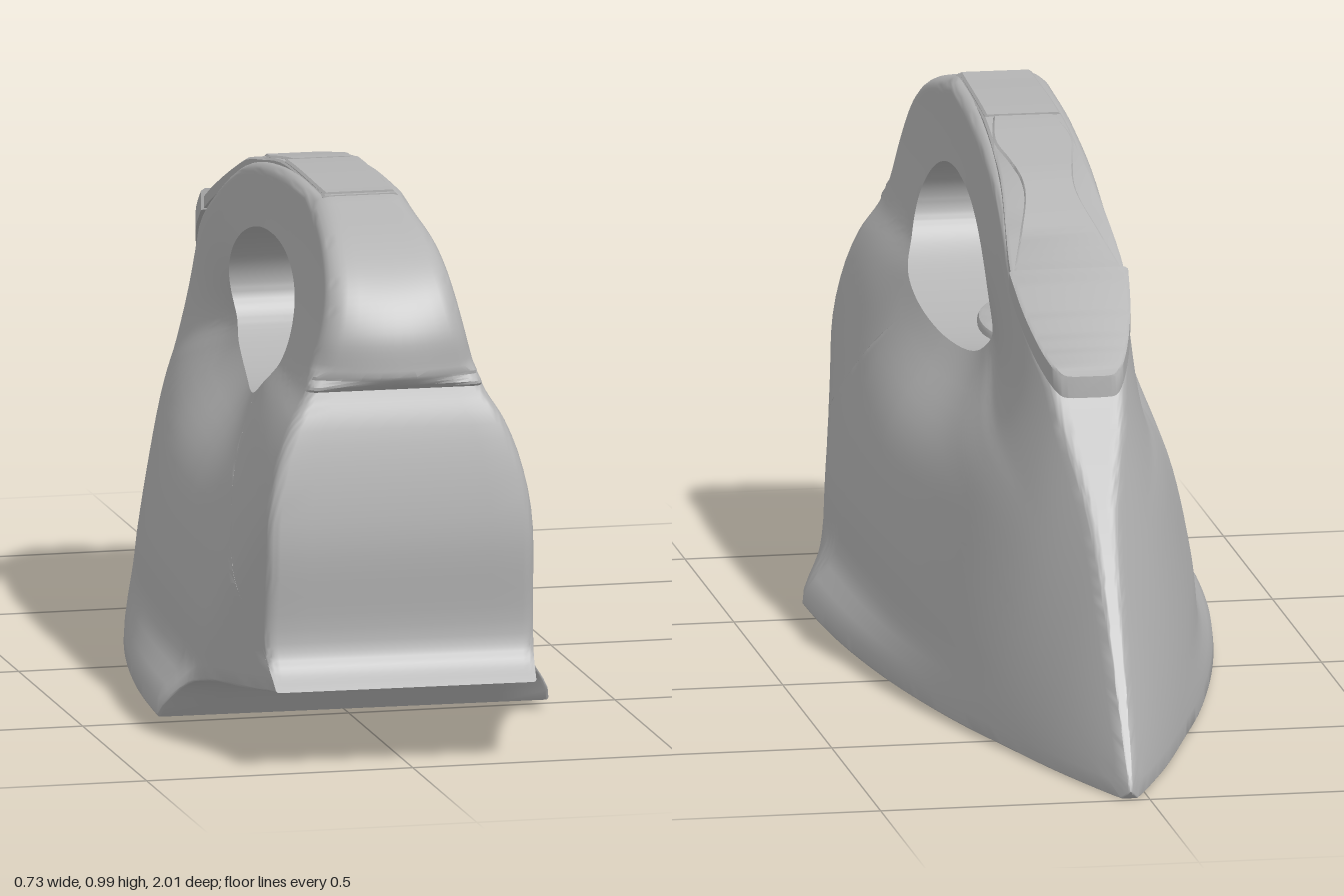
import * as THREE from 'three';
import { toCreasedNormals } from 'three/addons/utils/BufferGeometryUtils.js';

const grey = new THREE.MeshStandardMaterial({ color: 0xb4b4b4 });
grey.name = 'grey';
const { smoothstep, lerp } = THREE.MathUtils;

// smooth lookup in a short table of [position, value]
function look(table, t) {
  const last = table.length - 1;
  if (t <= table[0][0]) return table[0][1];
  if (t >= table[last][0]) return table[last][1];
  const i = table.findIndex(([p]) => p >= t) - 1;
  const slope = (k) => {
    const a = table[Math.max(0, k - 1)], b = table[Math.min(last, k + 1)];
    return (b[1] - a[1]) / (b[0] - a[0]);
  };
  const [p0, v0] = table[i], [p1, v1] = table[i + 1], h = p1 - p0, s = (t - p0) / h;
  const s2 = s * s, s3 = s2 * s;
  return v0 * (2 * s3 - 3 * s2 + 1) + v1 * (3 * s2 - 2 * s3)
    + h * (slope(i) * (s3 - 2 * s2 + s) + slope(i + 1) * (s3 - s2));
}

function softMin(a, b, k) {
  const h = Math.max(k - Math.abs(a - b), 0) / k;
  return Math.min(a, b) - h * h * k * 0.25;
}

// skin through a list of cross-section loops; closed = last section joins the first
function loft(sections, closed) {
  const n = sections[0].length, m = sections.length, index = [];
  for (let j = 0; j < (closed ? m : m - 1); j++) {
    for (let i = 0; i < n; i++) {
      const k = (i + 1) % n, q = (j + 1) % m;
      const a = j * n + i, b = j * n + k, c = q * n + k, d = q * n + i;
      index.push(a, b, c, a, c, d);
    }
  }
  if (!closed) {
    for (let i = 1; i < n - 1; i++) {
      index.push(0, i + 1, i);
      index.push((m - 1) * n, (m - 1) * n + i, (m - 1) * n + i + 1);
    }
  }
  const g = new THREE.BufferGeometry();
  g.setAttribute('position', new THREE.Float32BufferAttribute(sections.flat(2), 3));
  g.setIndex(index);
  return toCreasedNormals(g, 0.7);
}

function add(group, name, geometry) {
  const mesh = new THREE.Mesh(geometry, grey);
  mesh.name = name;
  group.add(mesh);
  return mesh;
}

// height of the crest, half widths of the base and crest, all along z
const crestY = [[-1, 0.03], [-0.875, 0.2], [-0.72, 0.4], [-0.48, 0.67], [-0.25, 0.806], [0, 0.925], [0.3, 0.98]];
const baseW = [[-1, 0.003], [-0.98, 0.018], [-0.8, 0.091], [-0.6, 0.157], [-0.4, 0.215], [-0.2, 0.255], [0, 0.282], [0.25, 0.302], [0.54, 0.314]];
const crestW = [[-1, 0.003], [-0.8, 0.014], [-0.65, 0.028], [-0.5, 0.065], [-0.3, 0.1], [0, 0.094], [0.6, 0.09], [0.8, 0.1], [0.94, 0.1]];
const rearW = [[0.48, 0.43], [0.54, 0.374], [0.6, 0.335], [0.7, 0.302], [0.8, 0.277], [0.95, 0.248], [1, 0.243]];
const flank = [[0, 1], [0.2, 0.95], [0.3, 0.87], [0.4, 0.77], [0.5, 0.67], [0.58, 0.58], [0.64, 0.47], [0.7, 0.31], [0.8, 0.17], [0.9, 0.07], [1, 0]];

// half width of the body at a point of its side profile
function halfWidth(z, y) {
  const u = Math.min(1, y / look(crestY, z));
  const f = lerp(1 - u ** 1.4, look(flank, u), smoothstep(z, -0.6, 0));
  const c = look(crestW, z);
  let w = c + (look(baseW, z) - c) * f;
  // flare above the sole, and the waist around the handle opening
  w += 0.053 * smoothstep(z, -0.6, 0.54) * (1 - smoothstep(y, 0.03, 0.135));
  w -= 0.085 * Math.exp(-(((z - 0.17) / 0.34) ** 2) - ((y - 0.59) / 0.12) ** 2);
  return Math.max(0.002, softMin(w, look(rearW, z), 0.015));
}

// the handle front is bowed, so its ledge fades out toward the sides
function bowed([x, y, z]) {
  const g = smoothstep(z, 0.78, 0.92) * smoothstep(y, 0.69, 0.712) * (1 - smoothstep(y, 0.72, 0.97));
  return [x, y, z - 0.034 * g * Math.min(1, Math.abs(x) / 0.14) ** 2];
}

// side profile as [steps, edge radius, [z, y] points]:
// sole, nose tip, nose ridge, crest, handle front, notch, back, lip, underside
const runs = [
  [60, 0.006, [[0.535, 0.016], [-0.2, 0.008], [-0.985, 0]]],
  [4, 0.006, [[-0.985, 0], [-1, 0.015], [-0.99, 0.042]]],
  [40, 0.012, [[-0.99, 0.042], [-0.875, 0.2], [-0.72, 0.4], [-0.48, 0.67]]],
  [24, 0.02, [[-0.48, 0.67], [-0.25, 0.806], [0, 0.925], [0.3, 0.98], [0.6, 0.987]]],
  [26, 0.035, [[0.6, 0.987], [0.785, 0.935], [0.88, 0.87], [0.93, 0.79], [0.937, 0.715]]],
  [5, 0.02, [[0.937, 0.715], [0.925, 0.7], [0.904, 0.687]]],
  [30, 0.02, [[0.904, 0.687], [0.93, 0.62], [0.958, 0.42], [0.945, 0.23], [0.96, 0.187], [1, 0.15]]],
  [14, 0.006, [[1, 0.15], [0.84, 0.128], [0.68, 0.11], [0.6, 0.085], [0.535, 0.016]]],
];

function bodySections() {
  const sections = [];
  for (const [count, round, pts] of runs) {
    const curve = new THREE.CatmullRomCurve3(pts.map(([z, y]) => new THREE.Vector3(0, y, z)), false, 'centripetal');
    for (let i = 0; i < count; i++) {
      const p = curve.getPoint(i / count);
      // matching point on the tilted oval of the handle opening
      const dz = p.z - 0.3, dy = p.y - 0.718;
      const a = Math.atan2((dy - 0.066 * dz) / 0.147, dz / 0.332);
      const hz = 0.3 + 0.332 * Math.cos(a), hy = 0.718 + 0.022 * Math.cos(a) + 0.147 * Math.sin(a);
      const len = Math.hypot(p.z - hz, p.y - hy);
      const r = Math.max(0.003, Math.min(round, look(crestW, p.z) * 0.6));
      const side = [];
      const put = (s, cut) => {
        const z = lerp(hz, p.z, s), y = lerp(hy, p.y, s);
        side.push([Math.max(0.001, halfWidth(z, y) - cut), y, z]);
      };
      for (let k = 0; k <= 22; k++) put((k / 22) * (1 - r / len), 0);
      for (let k = 1; k <= 5; k++) {
        const t = (k / 5) * Math.PI / 2;
        put(1 - (r / len) * (1 - Math.sin(t)), r * (1 - Math.cos(t)));
      }
      const mirror = side.map(([x, y, z]) => [-x, y, z]).reverse();
      const edge = side[side.length - 1][0], rim = [];
      for (let k = 1; k < 8; k++) rim.push([edge * (1 - k / 4), p.y, p.z]);
      sections.push([...side, ...rim, ...mirror].map(bowed));
    }
  }
  return sections;
}

// thin plate lying along the top: outline = [z, half width], raised above the panel line
const panelY = [[-0.53, 0.664], [-0.5, 0.68], [-0.26, 0.818], [-0.02, 0.93], [0.1, 0.957], [0.27, 0.984], [0.6, 0.988]];
function plate(outline, lift, depth) {
  const z0 = outline[0][0], z1 = outline[outline.length - 1][0], sections = [];
  const curve = new THREE.SplineCurve(outline.map(([z, w]) => new THREE.Vector2(z, w)));
  for (let i = 0; i <= 30; i++) {
    const p = curve.getPoint(i / 30), z = Math.min(z1, Math.max(z0, p.x)), w = Math.max(0.004, p.y);
    const y = look(panelY, z) + lift;
    sections.push([[w, y - depth, z], [w, y - 0.004, z], [w * 0.94, y, z], [-w * 0.94, y, z], [-w, y - 0.004, z], [-w, y - depth, z]]);
  }
  return loft(sections, false);
}

export function createModel() {
  const model = new THREE.Group();
  model.name = 'clothesIron';

  add(model, 'body', loft(bodySections(), true));

  // control panel along the handle top
  add(model, 'topPanel', plate([[-0.5, 0.06], [-0.4, 0.09], [-0.26, 0.105], [0, 0.084], [0.3, 0.073], [0.6, 0.07]], 0.001, 0.025));
  add(model, 'frontPlate', plate([[0.27, 0.07], [0.4, 0.069], [0.59, 0.066]], 0.005, 0.02));
  add(model, 'spoutCover', plate([[-0.52, 0.03], [-0.51, 0.055], [-0.45, 0.08], [-0.36, 0.1], [-0.27, 0.11]], 0.013, 0.04));
  add(model, 'buttonPlate', plate([[-0.26, 0.1], [-0.17, 0.075], [-0.05, 0.048], [0.06, 0.06], [0.15, 0.073], [0.26, 0.056]], 0.005, 0.02));

  // oval dial on the floor of the handle opening
  const dialProfile = [[0, -0.05], [1, -0.05], [1, 0.006], [0.96, 0.013], [0.88, 0.016], [0, 0.016]];
  const dialShape = new THREE.LatheGeometry(dialProfile.map(([x, y]) => new THREE.Vector2(x, y)), 48);
  dialShape.scale(0.072, 1, 0.13);
  const dial = add(model, 'dial', toCreasedNormals(dialShape, 0.5));
  dial.position.set(0, 0.575, 0.33);
  dial.rotation.x = -0.08;

  // slight turn of the whole body
  const root = new THREE.Group();
  root.name = 'iron';
  model.rotation.y = -0.0235;
  model.position.x = 0.012;
  root.add(model);
  return root;
}
